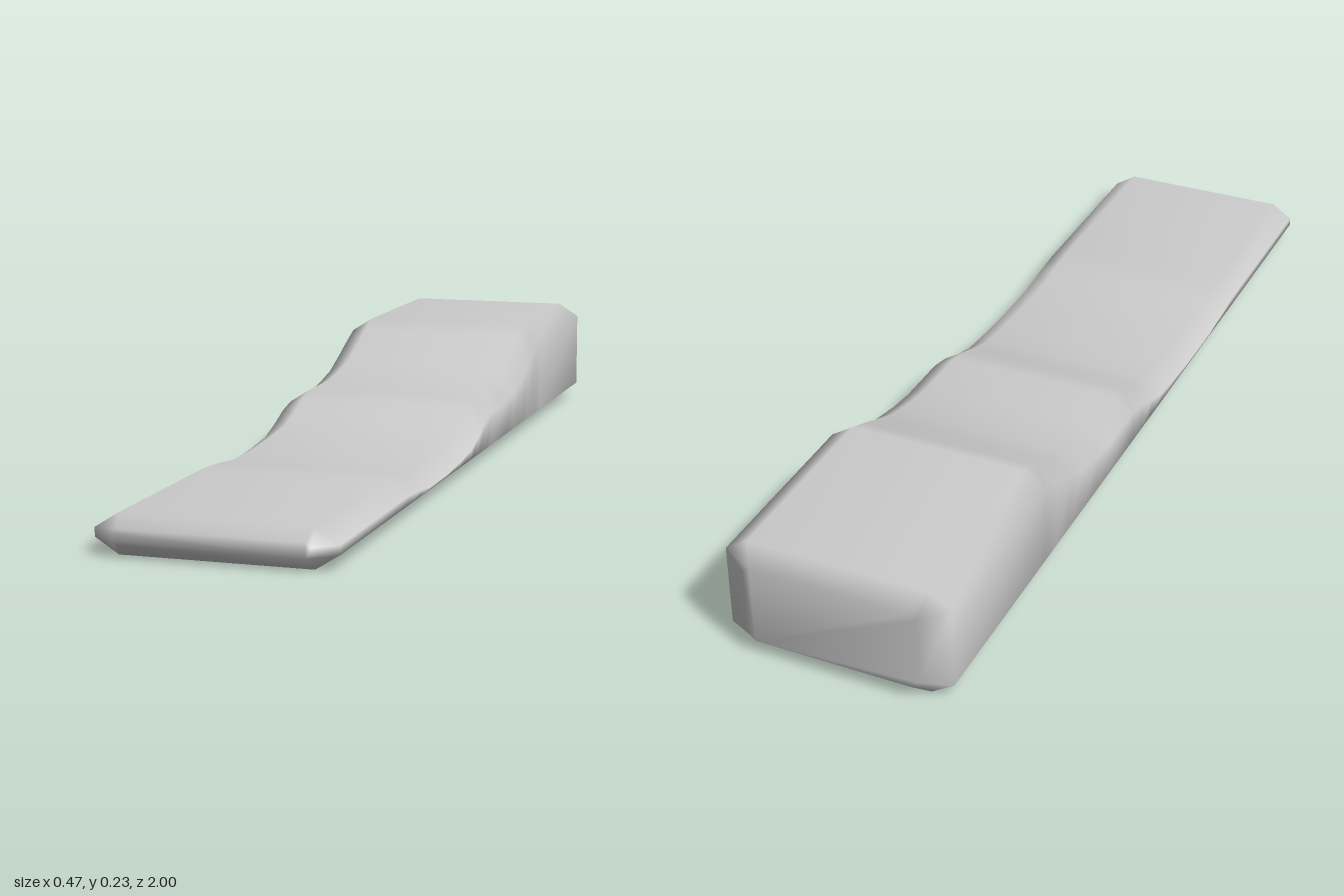
import * as THREE from 'three';

// Stations from front to back:
// [z, bottom, lower shoulder, upper shoulder, top, half width, half width of flat]
const body = (z, top) => [z, 0, 0.03, Math.max(top - 0.03, 0.034), top, 0.235, 0.188];
const stations = [
  [1, 0.025, 0.034, 0.046, 0.055, 0.19, 0.18],
  ...[
    [0.97, 0.078], [0.55, 0.078], [0.47, 0.072], [0.39, 0.064], [0.27, 0.065], [0.17, 0.071],
    [0.08, 0.08], [0.02, 0.098], [-0.04, 0.121], [-0.09, 0.132], [-0.22, 0.133], [-0.29, 0.142],
    [-0.37, 0.159], [-0.43, 0.183], [-0.5, 0.213], [-0.55, 0.233], [-0.965, 0.233],
  ].map(([z, top]) => body(z, top)),
  [-1, 0.03, 0.045, 0.19, 0.2, 0.18, 0.165],
];

// Chamfered rectangle, counter-clockwise seen from the front
function section([z, y0, y1, y2, y3, w, f]) {
  return [[f, y0], [w, y1], [w, y2], [f, y3], [-f, y3], [-w, y2], [-w, y1], [-f, y0]]
    .map(([x, y]) => [x, y, z]);
}

function loft(rings) {
  const n = rings[0].length;
  const positions = rings.flat(2);
  const index = [];
  for (let i = 0; i < rings.length - 1; i++) {
    for (let j = 0; j < n; j++) {
      const k = (j + 1) % n;
      const a = i * n + j, b = i * n + k, c = a + n, d = b + n;
      index.push(a, c, d, a, d, b);
    }
  }
  // End faces
  const last = (rings.length - 1) * n;
  for (let j = 1; j < n - 1; j++) {
    index.push(0, j, j + 1, last, last + j + 1, last + j);
  }
  const geometry = new THREE.BufferGeometry();
  geometry.setAttribute('position', new THREE.Float32BufferAttribute(positions, 3));
  geometry.setIndex(index);
  geometry.computeVertexNormals();
  return geometry;
}

export function createModel() {
  const group = new THREE.Group();
  group.name = 'steppedWedge';
  const material = new THREE.MeshStandardMaterial({ color: 0xcccccc });
  const wedge = new THREE.Mesh(loft(stations.map(section)), material);
  wedge.name = 'wedgeBody';
  group.add(wedge);
  return group;
}
